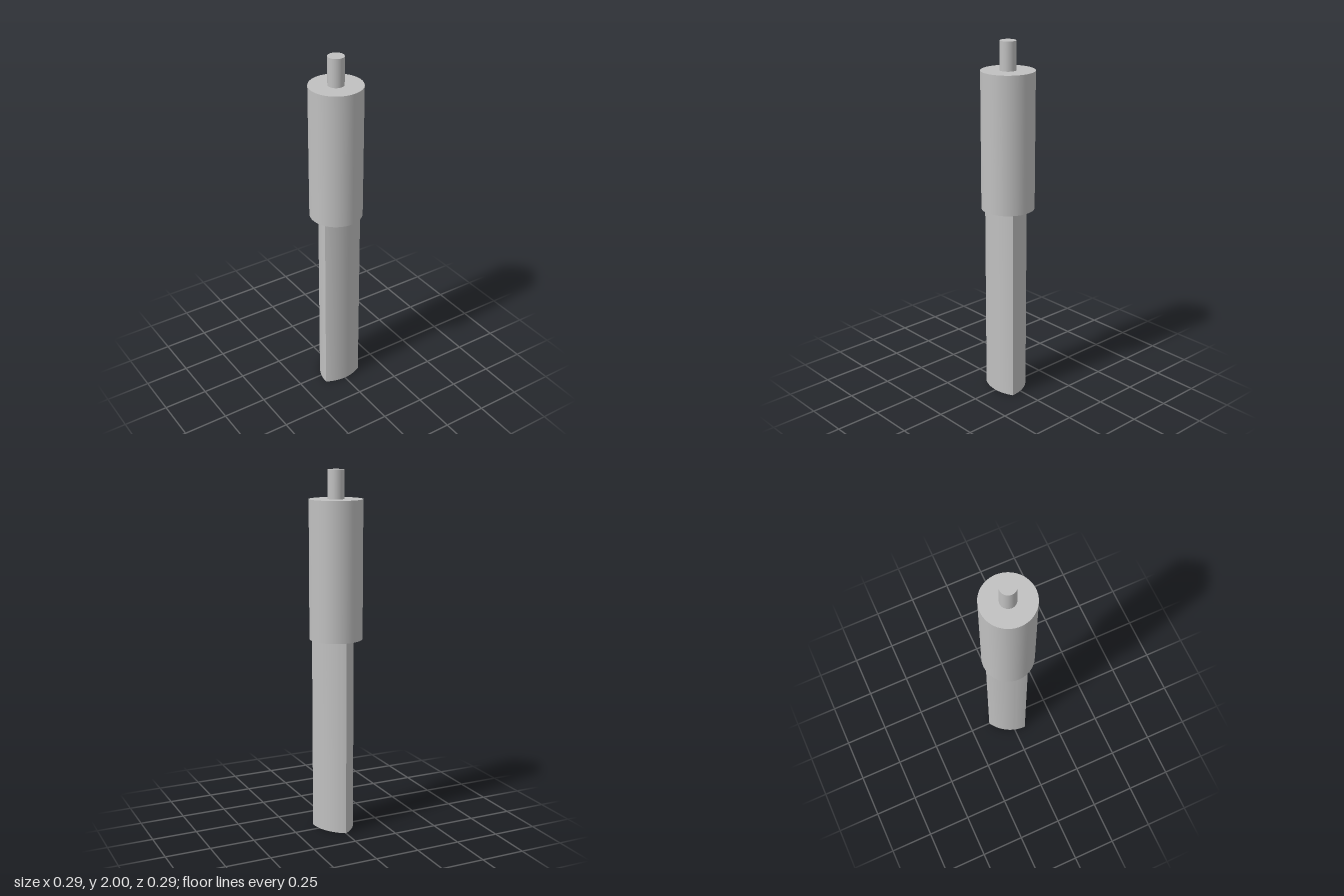
import * as THREE from 'three';
import { toCreasedNormals } from 'three/addons/utils/BufferGeometryUtils.js';

const WIDTH = 0.228; // constant width of the three-lobed shaft
const SEGMENTS = 20; // steps along each lobe

// Rounded triangle: each side is an arc centred on the opposite corner
function lobedShape() {
  const reach = WIDTH / Math.sqrt(3);
  const points = [];
  for (let side = 0; side < 3; side++) {
    const a = Math.PI * (1.5 + side * 2 / 3) + Math.PI / 3; // direction of the opposite corner
    const cx = reach * Math.cos(a), cy = reach * Math.sin(a);
    for (let i = 0; i < SEGMENTS; i++) {
      const t = a + Math.PI * (5 / 6 + i / SEGMENTS / 3);
      points.push(new THREE.Vector2(cx + WIDTH * Math.cos(t), cy + WIDTH * Math.sin(t)));
    }
  }
  return new THREE.Shape(points);
}

export function createModel() {
  const model = new THREE.Group();
  model.name = 'lobedTool';

  const steel = new THREE.MeshStandardMaterial({ color: 0xc0c0c0 });
  steel.name = 'steel grey';

  const add = (name, geometry) => {
    const mesh = new THREE.Mesh(geometry, steel);
    mesh.name = name;
    model.add(mesh);
  };
  const cylinder = (radius, bottom, top) =>
    new THREE.CylinderGeometry(radius, radius, top - bottom, 64).translate(0, (bottom + top) / 2, 0);

  // Lower shaft, with one corner pointing to the back
  const shaft = new THREE.ExtrudeGeometry(lobedShape(), { depth: 1.09, bevelEnabled: false });
  shaft.rotateX(-Math.PI / 2);
  add('lobedShaft', toCreasedNormals(shaft, 0.5));

  // Thick round body and the thin pin on top
  add('body', cylinder(0.145, 1.09, 1.845));
  add('topPin', cylinder(0.044, 1.845, 2));

  return model;
}
